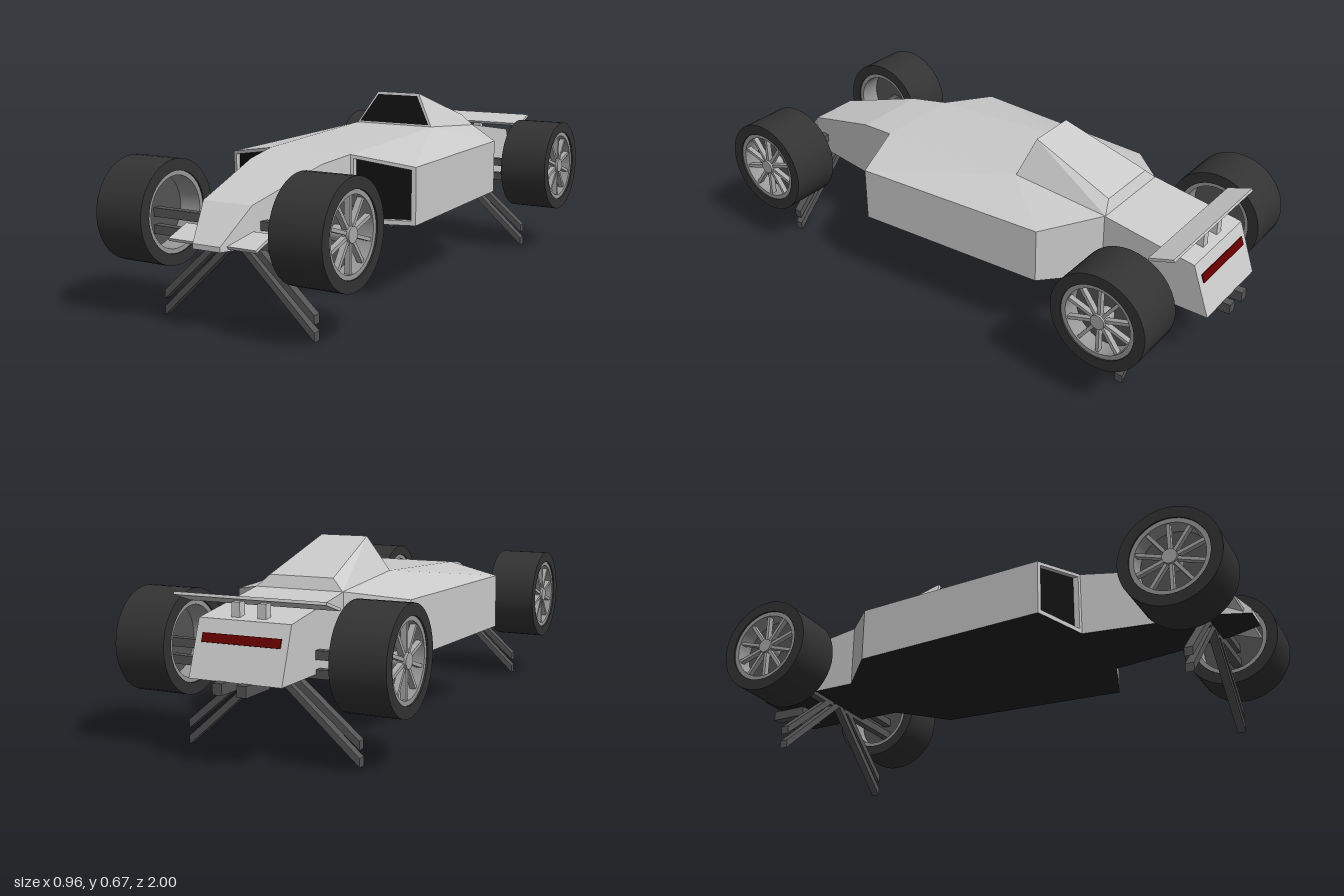
import * as THREE from 'three';
import { toCreasedNormals } from 'three/addons/utils/BufferGeometryUtils.js';

const GREY = 0xcccccc, BLACK = 0x111111, DARK = 0x555555, FLOOR = 0x222222;
const FLOOR_Y = 0.288;

export function createModel() {
  const model = new THREE.Group();
  model.name = 'racingCar';

  const add = (name, geometry, color = GREY, parent = model) => {
    const mesh = new THREE.Mesh(geometry, new THREE.MeshStandardMaterial({ color }));
    mesh.name = name;
    parent.add(mesh);
    return mesh;
  };

  // Flat polygons, corners counter-clockwise from outside; built for each side in turn
  const mirrored = (name, polys, color) => {
    const pos = [];
    for (const s of [1, -1]) for (const p of polys) {
      for (let i = 1; i < p.length - 1; i++) {
        const tri = s > 0 ? [p[0], p[i], p[i + 1]] : [p[0], p[i + 1], p[i]];
        for (const [x, y, z] of tri) pos.push(x * s, y, z);
      }
    }
    const g = new THREE.BufferGeometry();
    g.setAttribute('position', new THREE.Float32BufferAttribute(pos, 3));
    g.computeVertexNormals();
    return add(name, g, color);
  };

  const box = (name, w, h, d, x, y, z, color) => {
    const mesh = add(name, new THREE.BoxGeometry(w, h, d), color);
    mesh.position.set(x, y, z);
    return mesh;
  };

  // Central hull, nose to tail: top z, half width, top y, bottom z
  const stations = [
    [0.98, 0.053, 0.305, 0.98], [0.87, 0.095, 0.42, 0.87], [0.55, 0.143, 0.508, 0.55],
    [0.405, 0.165, 0.525, 0.405], [-0.19, 0.165, 0.555, -0.19],
    [-0.56, 0.165, 0.525, -0.56], [-0.905, 0.165, 0.47, -0.97],
  ].map(([z, w, y, zb]) => ({
    mid: [0, y, z], top: [w, y, z], low: [w, FLOOR_Y, zb], midLow: [0, FLOOR_Y, zb],
  }));
  const hull = [];
  for (let i = 0; i < stations.length - 1; i++) {
    const a = stations[i], b = stations[i + 1];
    hull.push([a.mid, a.top, b.top, b.mid], [a.top, a.low, b.low, b.top]);
  }
  const tip = stations[0], tail = stations[stations.length - 1];
  hull.push([tip.midLow, tip.low, tip.top, tip.mid], [tail.mid, tail.top, tail.low, tail.midLow]);
  mirrored('hull', hull);

  // Side pods with framed air inlets
  const A = [0.165, 0.525, 0.405], B = [0.165, 0.555, -0.19], C = [0.165, 0.525, -0.56];
  const D = [0.38, 0.488, 0.335], E = [0.335, 0.488, -0.4];
  const low = ([x, , z]) => [x, FLOOR_Y, z];
  mirrored('sidePods', [
    [A, D, B], [D, E, B], [E, C, B],
    [D, low(D), low(E), E], [E, low(E), low(C), C],
  ]);
  const onFront = (u, y) => [0.165 + 0.215 * u, y, 0.405 - 0.07 * u];
  const outer = [low(A), low(D), D, A];
  const inner = [onFront(0.05, 0.304), onFront(0.93, 0.304), onFront(0.93, 0.478), onFront(0.05, 0.511)];
  const back = inner.map(([x, y, z]) => [x, y, z - 0.02]);
  const ring = (p, q) => p.map((_, i) => [p[i], p[(i + 1) % 4], q[(i + 1) % 4], q[i]]);
  mirrored('inletFrames', [...ring(outer, inner), ...ring(inner, back)]);
  mirrored('inletOpenings', [back], BLACK);

  // Flat dark floor under the whole outline
  const half = [[0.053, 0.98], [0.095, 0.87], [0.165, 0.405], [0.38, 0.335],
    [0.335, -0.4], [0.165, -0.56], [0.165, -0.97]];
  const outline = [...half, ...half.map(([x, z]) => [-x, z]).reverse()];
  const floorShape = new THREE.Shape(outline.map(([x, z]) => new THREE.Vector2(x, z)));
  add('floor', new THREE.ShapeGeometry(floorShape).rotateX(Math.PI / 2).translate(0, FLOOR_Y, 0), FLOOR);

  // Canopy with a dark windscreen
  const f0 = [0.163, 0.555, -0.19], f1 = [0.09, 0.677, -0.225];
  const r1 = [0.12, 0.566, -0.545], r0 = [0.163, 0.525, -0.562];
  const centre = ([, y, z]) => [0, y, z];
  mirrored('canopy', [
    [centre(f0), f0, f1, centre(f1)], [centre(f1), f1, r1, centre(r1)],
    [f1, f0, r0, r1], [centre(r1), r1, r0, centre(r0)],
  ]);
  const w0 = [0.152, 0.561, -0.189], w1 = [0.086, 0.667, -0.2195];
  mirrored('windscreen', [[centre(w0), w0, w1, centre(w1)]], BLACK);

  // Wings, pylons, tail light and exhausts
  box('frontWing', 0.34, 0.01, 0.096, 0, 0.316, 0.91).rotation.x = 0.36;
  box('rearWing', 0.545, 0.01, 0.096, 0, 0.522, -0.84).rotation.x = 0.32;
  box('tailLight', 0.28, 0.03, 0.008, 0, 0.412, -0.926, 0x660000).rotation.x = 0.345;
  for (const s of [1, -1]) {
    box('wingPylon', 0.03, 0.06, 0.03, 0.047 * s, 0.492, -0.865);
    box('exhaust', 0.034, 0.037, 0.14, 0.043 * s, 0.271, -0.93, DARK);
  }

  // Suspension bar: upright-ended slanted beam
  const bar = (name, s, x0, y0, x1, y1, z) => {
    const h = 0.015;
    const shape = new THREE.Shape([[x0, y0 - h], [x1, y1 - h], [x1, y1 + h], [x0, y0 + h]]
      .map(([x, y]) => new THREE.Vector2(x * s, y)));
    const g = new THREE.ExtrudeGeometry(shape, { depth: 0.03, bevelEnabled: false });
    add(name, g.translate(0, 0, z - 0.015), DARK);
  };

  // Wheel with its outer face towards +x
  const makeWheel = (name) => {
    const wheel = new THREE.Group();
    wheel.name = name;
    const h = 0.094;
    const lathe = (pts) => toCreasedNormals(new THREE.LatheGeometry(
      pts.map(([r, y]) => new THREE.Vector2(r, y)), 40).rotateZ(-Math.PI / 2), 0.6);
    const disc = (r, t, x) => new THREE.CylinderGeometry(r, r, t, 32).rotateZ(-Math.PI / 2).translate(x, 0, 0);
    add('tyre', lathe([[0.138, -h], [0.178, -h], [0.178, h], [0.138, h], [0.138, -h]]), 0x333333, wheel);
    const e = h - 0.006;
    add('rim', lathe([[0.122, -e], [0.139, -e], [0.139, e], [0.122, e], [0.122, -e]]), 0x999999, wheel);
    add('wheelDisc', disc(0.13, 0.03, 0.01), DARK, wheel);
    add('hub', disc(0.026, 0.08, 0.05), 0xaaaaaa, wheel);
    for (let i = 0; i < 10; i++) {
      const spoke = new THREE.BoxGeometry(0.02, 0.108, 0.012).translate(0.072, 0.072, 0);
      add('spoke', spoke.rotateX(i * Math.PI / 5), 0xaaaaaa, wheel);
    }
    return wheel;
  };

  // Axles: z, wheel centre x, outer end of the slanted struts
  const axles = [['front', 0.82, 0.339, 0.297], ['rear', -0.74, 0.388, 0.317]];
  for (const [name, z, x, end] of axles) for (const s of [1, -1]) {
    const wheel = makeWheel(name + 'Wheel');
    wheel.position.set(x * s, 0.356, z);
    if (s < 0) wheel.rotation.y = Math.PI;
    model.add(wheel);
    bar(name + 'UpperArm', s, 0.06, 0.35, x, 0.35, z);
    bar(name + 'LowerArm', s, 0.04, 0.287, x, 0.292, z);
    bar(name + 'UpperStrut', s, 0.04, 0.305, end, 0.075, z);
    bar(name + 'LowerStrut', s, 0, 0.297, end, 0.019, z);
  }
  return model;
}
